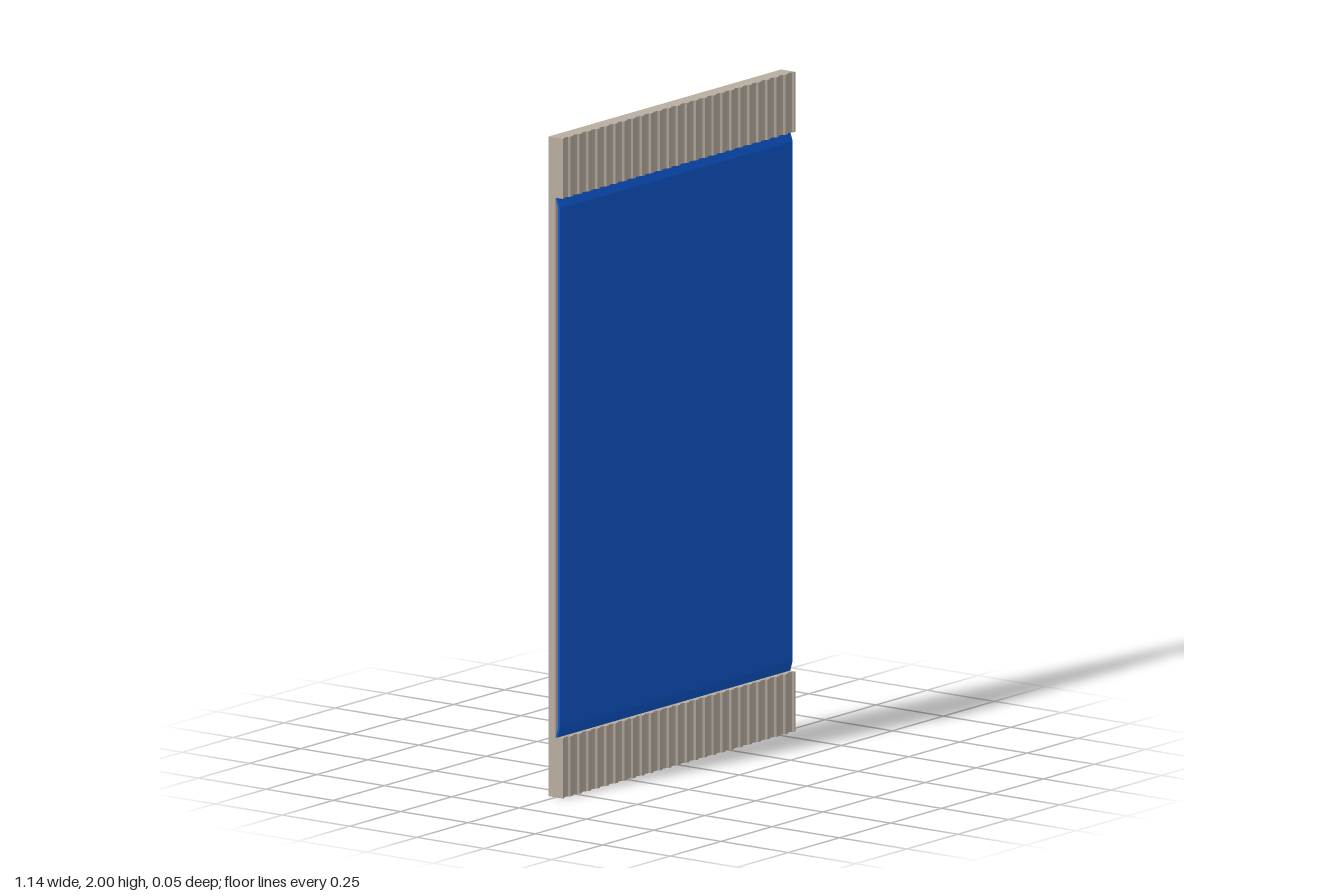
import * as THREE from 'three';

const HALF_W = 0.57, HALF_D = 0.027, END_H = 0.182, HEIGHT = 2;
const FLUTES = 26, GROOVE_HALF = 0.0155, GROOVE_DEPTH = 0.008, GROOVE_SEGMENTS = 4;

// Block with concave vertical grooves across its front, extruded upward
function flutedGeometry() {
  const pitch = (2 * HALF_W) / FLUTES;
  const s = new THREE.Shape(); // shape y is -z
  s.moveTo(-HALF_W, HALF_D);
  s.lineTo(-HALF_W, -HALF_D);
  for (let i = 0; i < FLUTES; i++) {
    const cx = -HALF_W + (i + 0.5) * pitch;
    for (let k = 0; k <= GROOVE_SEGMENTS; k++) {
      const a = (Math.PI * k) / GROOVE_SEGMENTS;
      s.lineTo(cx - GROOVE_HALF * Math.cos(a), -HALF_D + GROOVE_DEPTH * Math.sin(a));
    }
  }
  s.lineTo(HALF_W, -HALF_D);
  s.lineTo(HALF_W, HALF_D);
  s.closePath();
  return new THREE.ExtrudeGeometry(s, { depth: END_H, bevelEnabled: false }).rotateX(-Math.PI / 2);
}

// Thin sheet whose top and bottom edges slope back toward the board
function sheetGeometry() {
  const front = 0.016, edge = 0.007, thick = 0.007, slope = 0.03;
  const y0 = END_H, y1 = HEIGHT - END_H;
  const line = [[edge, y0], [front, y0 + slope], [front, y1 - slope], [edge, y1]];
  const pts = [...line, ...line.map(([z, y]) => [z - thick, y]).reverse()];
  const s = new THREE.Shape(pts.map(([z, y]) => new THREE.Vector2(-z, y))); // shape x is -z
  return new THREE.ExtrudeGeometry(s, { depth: 2 * HALF_W, bevelEnabled: false })
    .translate(0, 0, -HALF_W)
    .rotateY(Math.PI / 2);
}

export function createModel() {
  const group = new THREE.Group();
  group.name = 'flutedPanel';
  const stone = new THREE.MeshStandardMaterial({ color: 0xb8ada0, flatShading: true });
  const blue = new THREE.MeshStandardMaterial({ color: 0x0d57cd, flatShading: true });

  const add = (name, geometry, material, y = 0, z = 0) => {
    const mesh = new THREE.Mesh(geometry, material);
    mesh.name = name;
    mesh.position.set(0, y, z);
    group.add(mesh);
  };

  // Fluted bands at both ends
  const band = flutedGeometry();
  add('bottomFlutedBand', band, stone);
  add('topFlutedBand', band, stone, HEIGHT - END_H);

  // Recessed board between the bands
  add('backBoard', new THREE.BoxGeometry(2 * HALF_W, HEIGHT - 2 * END_H, HALF_D), stone, HEIGHT / 2, -HALF_D / 2);

  // Blue sheet over the recess
  add('blueSheet', sheetGeometry(), blue);
  return group;
}
